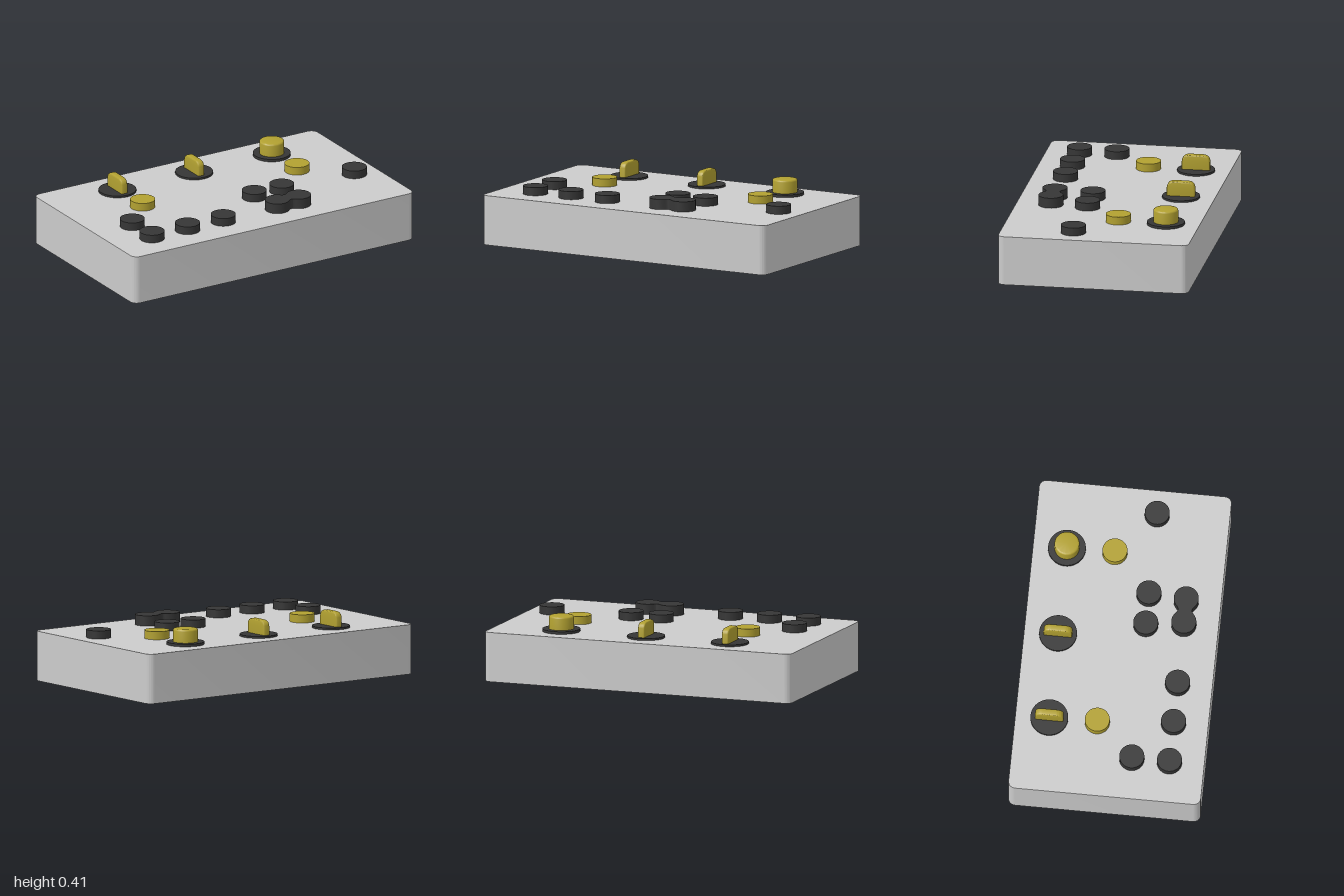
import * as THREE from 'three';
import { toCreasedNormals } from 'three/addons/utils/BufferGeometryUtils.js';

const TOP = 0.305; // height of the case lid
const R = 0.076;   // button radius
const grey = new THREE.MeshStandardMaterial({ color: 0xcccccc });
const black = new THREE.MeshStandardMaterial({ color: 0x363636 });
const gold = new THREE.MeshStandardMaterial({ color: 0xb2a131 });

// Extrude a plan outline upwards from y = 0
function slab(shape, height) {
  const geo = new THREE.ExtrudeGeometry(shape, { depth: height, bevelEnabled: false, curveSegments: 12 });
  geo.rotateX(-Math.PI / 2);
  return toCreasedNormals(geo, 0.6);
}

function roundedRect(w, d, r) {
  const s = new THREE.Shape();
  s.absarc(w - r, d - r, r, 0, Math.PI / 2);
  s.absarc(-w + r, d - r, r, Math.PI / 2, Math.PI);
  s.absarc(-w + r, -d + r, r, Math.PI, Math.PI * 1.5);
  s.absarc(w - r, -d + r, r, Math.PI * 1.5, Math.PI * 2);
  s.closePath();
  return s;
}

// Two touching circles joined by a smooth waist
function pairOutline() {
  const a = Math.PI / 4, c = R * Math.SQRT1_2;
  const s = new THREE.Shape();
  s.absarc(R, 0, R, -3 * a, 3 * a);
  s.quadraticCurveTo(0, c - (R - c), -(R - c), c);
  s.absarc(-R, 0, R, a, 7 * a);
  s.quadraticCurveTo(0, -c + (R - c), R - c, -c);
  return s;
}

export function createModel() {
  const model = new THREE.Group();
  const add = (name, geo, mat, x, y, z, parent = model) => {
    const mesh = new THREE.Mesh(geo, mat);
    mesh.name = name;
    mesh.position.set(x, y, z);
    parent.add(mesh);
    return mesh;
  };

  // Case
  add('case', slab(roundedRect(1, 0.587, 0.043), TOP), grey, 0, 0, 0);

  // Round push buttons
  const buttonGeo = new THREE.CylinderGeometry(R, R, 0.05, 40);
  const button = (name, mat, x, z) => add(name, buttonGeo, mat, x, TOP + 0.025, z);
  for (const x of [-0.743, 0.127, 0.323, 0.84]) button('upperButton', black, x, 0.145);
  for (const x of [-0.743, -0.49, -0.235]) button('lowerButton', black, x, 0.375);
  for (const x of [-0.527, 0.573]) button('goldButton', gold, x, -0.087);

  // Joined double button
  add('doubleButton', slab(pairOutline(), 0.063), black, 0.226, TOP, 0.375);

  // Dial plates
  const plateGeo = new THREE.CylinderGeometry(0.115, 0.115, 0.012, 48);
  const tallPlateGeo = new THREE.CylinderGeometry(0.115, 0.115, 0.016, 48);

  // Selector grip: rounded upright blade with softened edges
  const b = 0.008, half = 0.0865 - b, h = 0.103 - b;
  const side = new THREE.Shape();
  side.moveTo(-half, 0);
  side.lineTo(half, 0);
  side.lineTo(half, 0.06);
  side.bezierCurveTo(half - 0.002, 0.09, half - 0.02, h, half - 0.04, h);
  side.lineTo(-half + 0.04, h);
  side.bezierCurveTo(-half + 0.02, h, -half + 0.002, 0.09, -half, 0.06);
  let gripGeo = new THREE.ExtrudeGeometry(side, {
    depth: 0.043 - 2 * b, bevelThickness: b, bevelSize: b, bevelSegments: 3, curveSegments: 10,
  });
  gripGeo.translate(0, 0, -(0.043 - 2 * b) / 2);
  gripGeo.rotateY(Math.PI / 2);
  gripGeo = toCreasedNormals(gripGeo, 0.7);

  for (const x of [-0.527, 0.02]) {
    const dial = new THREE.Group();
    dial.name = 'selectorDial';
    dial.position.set(x, TOP, -0.38);
    model.add(dial);
    add('dialPlate', plateGeo, black, 0, 0.006, 0, dial);
    add('dialGrip', gripGeo, gold, 0, 0, 0, dial);
  }

  // Round knob with a rounded rim
  const knob = new THREE.Group();
  knob.name = 'roundKnob';
  knob.position.set(0.573, TOP, -0.38);
  model.add(knob);
  add('knobPlate', tallPlateGeo, black, 0, 0.008, 0, knob);
  const profile = [[R, 0], [R, 0.086], [0.0745, 0.092], [0.07, 0.096], [0.064, 0.0975], [0, 0.0975]]
    .map(([x, y]) => new THREE.Vector2(x, y));
  add('knobCap', toCreasedNormals(new THREE.LatheGeometry(profile, 40), 0.7), gold, 0, 0, 0, knob);

  return model;
}
